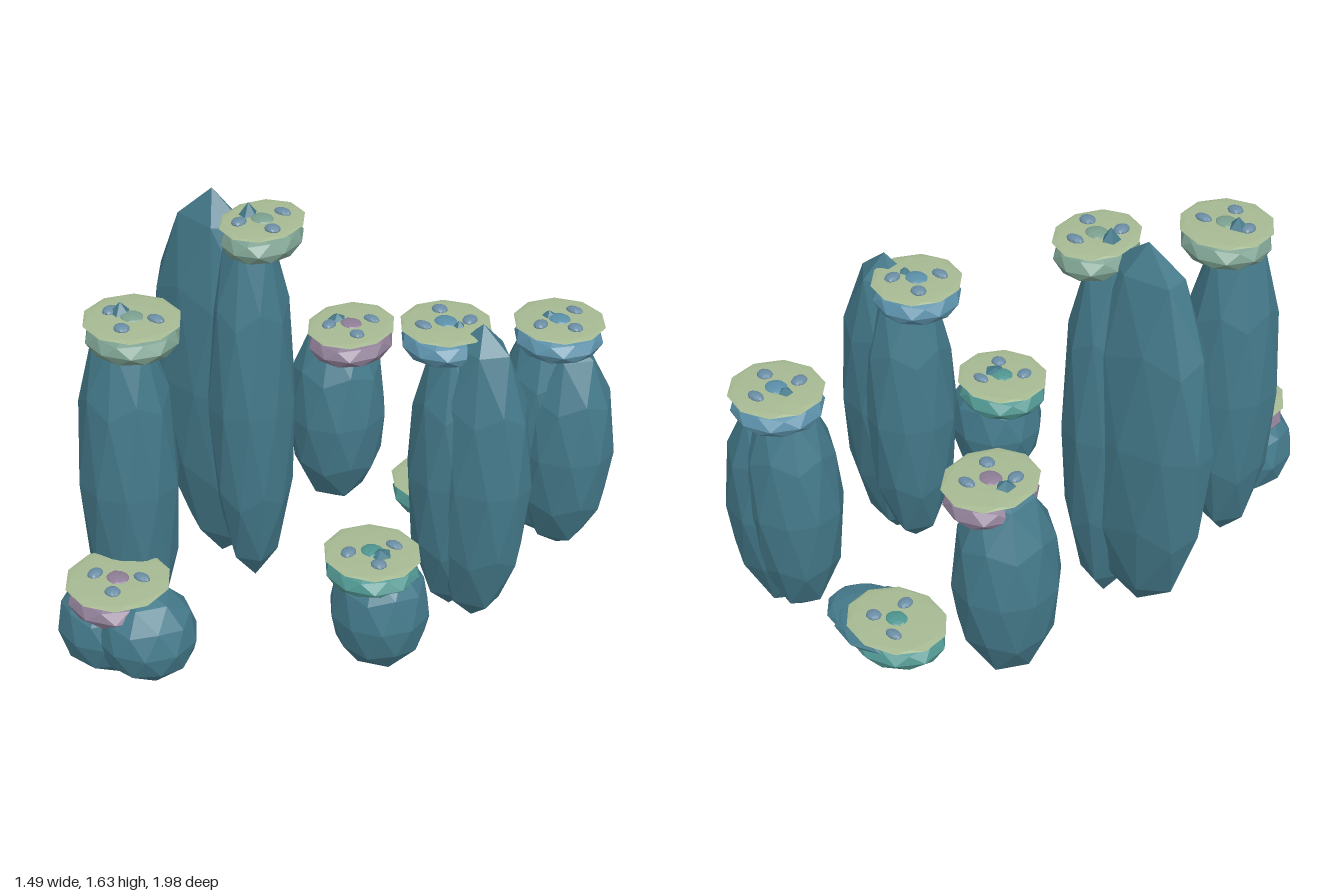
import * as THREE from 'three';
import { ConvexGeometry } from 'three/addons/geometries/ConvexGeometry.js';

// Faceted ball with a vertex at each pole; every ring is mirrored below with a 36 degree turn
function facetedBall() {
  const points = [new THREE.Vector3(0, 1, 0), new THREE.Vector3(0, -1, 0)];
  const ring = (y, turn, count) => {
    const r = Math.sqrt(1 - y * y);
    for (let i = 0; i < count; i++) {
      const a = THREE.MathUtils.degToRad(turn + (i * 360) / count);
      points.push(new THREE.Vector3(r * Math.cos(a), y, r * Math.sin(a)));
    }
  };
  for (const side of [1, -1]) {
    const turn = side > 0 ? 0 : 36;
    ring(side * 0.851, turn, 5);
    ring(side * 0.526, turn + 36, 5);
    ring(side * 0.447, turn, 5);
  }
  ring(0, 18, 10);
  return new ConvexGeometry(points);
}

const paint = (color) => new THREE.MeshStandardMaterial({ color, flatShading: true });

export function createModel() {
  const model = new THREE.Group();
  const ball = facetedBall();
  const rock = paint(0x44798a), moss = paint(0xa6b992), pebble = paint(0x6a8ca3);
  const purple = paint(0x8d7d95), sage = paint(0x7b9f8f), blue = paint(0x5a8fa8), teal = paint(0x4f9590);

  // One pillar: plate at x, y, z with radii rx, rz; rocks as [x, bottom, top, rx, rz]
  function addPillar(name, rim, [x, y, z, rx, rz], pebbleTurn, ...rocks) {
    const pillar = new THREE.Group();
    pillar.name = name;
    const add = (part, material, px, py, pz, sx, sy, sz) => {
      const mesh = new THREE.Mesh(ball, material);
      mesh.name = part;
      mesh.position.set(px, py, pz);
      mesh.scale.set(sx, sy, sz);
      pillar.add(mesh);
    };
    for (const [cx, bottom, top, a, b] of rocks) {
      add('rock', rock, cx, (bottom + top) / 2, z, a, (top - bottom) / 2, b);
    }
    // rounded rim under a thin mossy plate
    add('rim', rim, x, y - 0.065, z, rx * 0.97, 0.072, rz * 0.97);
    add('mossPlate', moss, x, y, z, rx, 0.01, rz);
    // small growth at the middle, three pebbles around it
    add('growth', rim, x, y + 0.006, z, 0.045, 0.014, 0.04);
    for (let i = 0; i < 3; i++) {
      const angle = pebbleTurn + i * 1.7;
      add('pebble', pebble, x + 0.085 * Math.cos(angle), y + 0.01, z + 0.085 * Math.sin(angle),
        0.034 - i * 0.004, 0.014, 0.022 + i * 0.005);
    }
    model.add(pillar);
  }

  // left row, front to back
  addPillar('frontBoulders', purple, [-0.32, 0.465, 0.79, 0.19, 0.19], -0.6,
    [-0.37, 0.075, 0.455, 0.19, 0.19], [-0.2, 0.11, 0.47, 0.19, 0.18]);
  addPillar('tallFrontPillar', sage, [-0.39, 1.4, 0.56, 0.175, 0.17], -0.4,
    [-0.44, 0.02, 1.45, 0.185, 0.18]);
  addPillar('tallestPillar', sage, [-0.25, 1.575, 0, 0.145, 0.17], -1.2,
    [-0.31, 0.01, 1.63, 0.16, 0.175], [-0.47, 0.06, 1.64, 0.29, 0.145]);
  addPillar('middlePillar', purple, [-0.26, 0.87, -0.57, 0.165, 0.185], -1,
    [-0.325, 0.05, 0.9, 0.195, 0.2]);

  // flat floating slab at the back
  addPillar('lowSlab', teal, [0.045, 0.17, -0.75, 0.2, 0.17], -2.2,
    [0.11, 0.095, 0.175, 0.19, 0.175], [0.19, 0.095, 0.165, 0.165, 0.14]);

  // right row, back to front
  addPillar('backPillar', blue, [0.505, 1.03, -0.82, 0.175, 0.17], -1.4,
    [0.46, 0.06, 1.06, 0.185, 0.175], [0.55, 0.04, 0.98, 0.205, 0.175]);
  addPillar('rightPillar', blue, [0.365, 1.25, -0.245, 0.165, 0.165], -4.1,
    [0.42, 0.04, 1.28, 0.175, 0.175], [0.52, 0.03, 1.3, 0.21, 0.155]);
  addPillar('frontRightBoulder', teal, [0.385, 0.545, 0.23, 0.18, 0.17], -1,
    [0.42, 0.08, 0.57, 0.185, 0.18]);

  return model;
}
